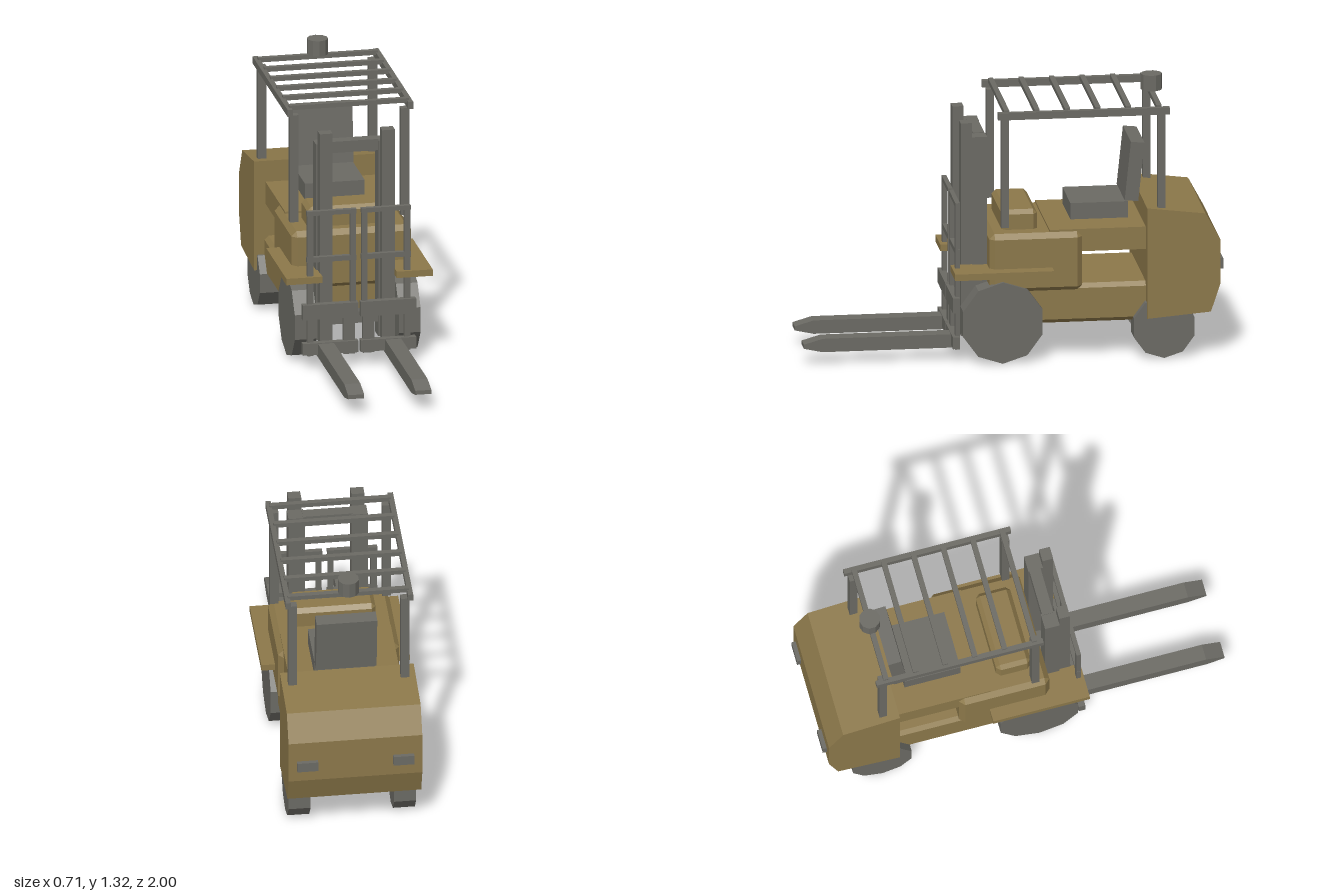
import * as THREE from 'three';
import { ConvexGeometry } from 'three/addons/geometries/ConvexGeometry.js';

export function createModel() {
  const model = new THREE.Group();
  model.name = 'forklift';
  const mustard = new THREE.MeshStandardMaterial({ color: 0x8c784a });
  mustard.name = 'mustard paint';
  const grey = new THREE.MeshStandardMaterial({ color: 0x6b6a64 });
  grey.name = 'dark grey metal';

  function add(name, geometry, material) {
    const mesh = new THREE.Mesh(geometry, material);
    mesh.name = name;
    model.add(mesh);
    return mesh;
  }

  // Box given by its lower and upper limits on each axis
  function box(name, material, x0, x1, y0, y1, z0, z1) {
    const g = new THREE.BoxGeometry(x1 - x0, y1 - y0, z1 - z0);
    g.translate((x0 + x1) / 2, (y0 + y1) / 2, (z0 + z1) / 2);
    return add(name, g, material);
  }

  // The same box on the left and the right side
  function pair(name, material, x0, x1, ...rest) {
    box(name + 'Left', material, x0, x1, ...rest);
    box(name + 'Right', material, -x1, -x0, ...rest);
  }

  // Box with every edge chamfered by c
  function chamferBox(name, material, halfX, y0, y1, z0, z1, c) {
    const h = [halfX, (y1 - y0) / 2, (z1 - z0) / 2];
    const points = [];
    for (const sx of [-1, 1]) for (const sy of [-1, 1]) for (const sz of [-1, 1]) {
      for (let axis = 0; axis < 3; axis++) {
        const d = h.map((v, i) => (i === axis ? v : v - c));
        points.push(new THREE.Vector3(sx * d[0], sy * d[1], sz * d[2]));
      }
    }
    const g = new ConvexGeometry(points);
    g.translate(0, (y0 + y1) / 2, (z0 + z1) / 2);
    return add(name, g, material);
  }

  // Side profile of [z, y] points, extruded across x
  function profile(name, material, points, width, x = 0) {
    const shape = new THREE.Shape(points.map(([z, y]) => new THREE.Vector2(z, y)));
    const g = new THREE.ExtrudeGeometry(shape, { depth: width, bevelEnabled: false });
    g.translate(0, 0, -width / 2);
    g.rotateY(-Math.PI / 2);
    g.translate(x, 0, 0);
    return add(name, g, material);
  }

  // Ten-sided faceted cylinder
  function faceted(radius, height) {
    const g = new THREE.CylinderGeometry(radius, radius, height, 10).toNonIndexed();
    g.computeVertexNormals();
    return g;
  }

  // Body
  chamferBox('chassis', mustard, 0.27, 0.18, 0.37, -0.8, 0.1, 0.02);
  chamferBox('frontBody', mustard, 0.29, 0.34, 0.63, -0.325, 0.12, 0.025);
  chamferBox('dashHood', mustard, 0.2, 0.6, 0.725, -0.12, 0.05, 0.02);
  box('seatDeck', mustard, -0.265, 0.265, 0.53, 0.64, -0.65, -0.17);
  profile('counterweight', mustard, [
    [-0.63, 0.2], [-0.63, 0.745], [-0.91, 0.71], [-0.98, 0.58], [-0.98, 0.36], [-0.935, 0.225],
  ], 0.64);
  pair('fender', mustard, 0.18, 0.355, 0.43, 0.462, -0.18, 0.295);
  pair('rearLight', grey, 0.18, 0.28, 0.425, 0.475, -1, -0.97);

  // Seat
  box('seatCushion', grey, -0.145, 0.145, 0.655, 0.735, -0.56, -0.285);
  profile('seatBack', grey, [[-0.545, 0.74], [-0.61, 0.733], [-0.64, 1.02], [-0.575, 1.027]], 0.29);

  // Wheels
  for (const [name, radius, z] of [['frontWheel', 0.2, 0.06], ['rearWheel', 0.152, -0.713]]) {
    for (const side of [-1, 1]) {
      const g = faceted(radius, 0.105);
      g.rotateZ(Math.PI / 2);
      g.rotateX(Math.PI / 2);
      g.translate(side * 0.2525, radius, z);
      add(name + (side > 0 ? 'Left' : 'Right'), g, grey);
    }
  }

  // Overhead guard
  pair('guardFrontPost', grey, 0.248, 0.29, 0.665, 1.2, 0.028, 0.065);
  pair('guardRearPost', grey, 0.248, 0.29, 0.735, 1.2, -0.722, -0.685);
  pair('guardSideRail', grey, 0.28, 0.305, 1.2, 1.235, -0.74, 0.082);
  for (let i = 0; i < 6; i++) {
    const z = 0.04 - i * 0.146 + 0.0;
    box('guardCrossBar', grey, -0.29, 0.29, 1.223, 1.245, z - 0.0125, z + 0.0125);
  }
  const beacon = faceted(0.051, 0.077);
  beacon.translate(0, 1.283, -0.692);
  add('beacon', beacon, grey);

  // Mast
  pair('mastOuterRail', grey, 0.112, 0.19, 0.11, 1.09, 0.12, 0.192);
  pair('mastInnerRail', grey, 0.12, 0.182, 0.11, 1.158, 0.192, 0.245);
  box('mastTopCrossBar', grey, -0.12, 0.12, 1.038, 1.094, 0.125, 0.18);
  box('mastLowerCrossBar', grey, -0.12, 0.12, 0.18, 0.235, 0.125, 0.18);

  // Carriage and load backrest
  pair('carriageUpperPlate', grey, 0.006, 0.275, 0.248, 0.322, 0.262, 0.295);
  pair('carriageLowerPlate', grey, 0.006, 0.275, 0.072, 0.13, 0.262, 0.295);
  pair('carriageInnerLink', grey, 0.02, 0.075, 0.062, 0.25, 0.258, 0.28);
  pair('backrestInnerBar', grey, 0.015, 0.042, 0.25, 0.765, 0.258, 0.28);
  pair('backrestOuterBar', grey, 0.22, 0.25, 0.062, 0.765, 0.258, 0.28);
  pair('backrestTopRail', grey, 0.012, 0.252, 0.763, 0.785, 0.258, 0.28);
  pair('backrestMiddleRail', grey, 0.012, 0.252, 0.53, 0.555, 0.258, 0.28);

  // Forks
  for (const side of [-1, 1]) {
    profile(side > 0 ? 'forkLeft' : 'forkRight', grey, [
      [0.262, 0.06], [0.91, 0.06], [1, 0.08], [1, 0.1], [0.91, 0.126], [0.262, 0.126],
    ], 0.078, side * 0.163);
  }

  return model;
}
